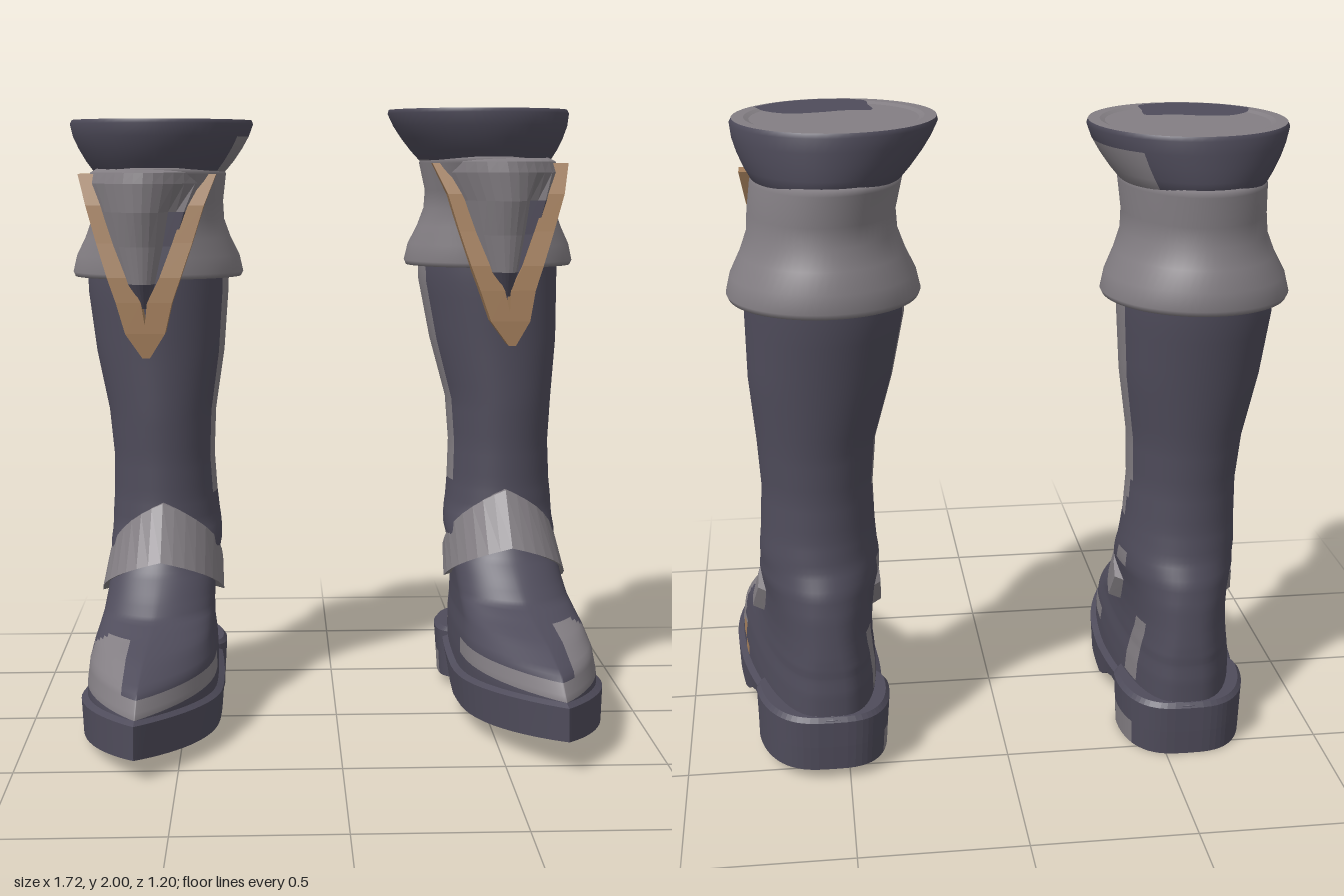
import * as THREE from 'three';

const DARK = 0, GREY = 1, TAN = 2, UNDER = 3;
const N = 64; // segments round each section

function makeMaterials() {
  return [['darkLeather', 0x4f4c5b], ['greyTrim', 0x837e83], ['tanBinding', 0xa47f5c], ['soleUnderside', 0x3a3742]]
    .map(([name, color]) => {
      const m = new THREE.MeshStandardMaterial({ color });
      m.name = name;
      return m;
    });
}

// Piecewise linear lookup in [key, value] pairs
function lookup(pairs, k) {
  if (k <= pairs[0][0]) return pairs[0][1];
  for (let i = 1; i < pairs.length; i++) {
    const [k0, v0] = pairs[i - 1], [k1, v1] = pairs[i];
    if (k <= k1) return v0 + (v1 - v0) * (k - k0) / (k1 - k0);
  }
  return pairs[pairs.length - 1][1];
}

// Horizontal section: half width, widest z, front z, back z, front and back pointedness
function section([y, w, cz, zf, zb, qf = 1, qb = 1]) {
  return Array.from({ length: N }, (_, i) => {
    const a = i / N * Math.PI * 2, s = Math.sin(a), c = Math.cos(a);
    const x = Math.sign(s) * w * Math.pow(Math.abs(s), c > 0 ? qf : qb);
    return [x, y, cz + c * (c > 0 ? zf - cz : cz - zb)];
  });
}

// Skin rings of points; paint(row, column) picks the colour of each cell
function skin(rings, paint = () => DARK, closed = true, sharp = false) {
  const n = rings[0].length, faces = [[], [], [], []];
  for (let j = 0; j < rings.length - 1; j++) {
    for (let i = 0; i < (closed ? n : n - 1); i++) {
      const a = j * n + i, b = j * n + (i + 1) % n;
      faces[paint(j, i)].push(a, b, b + n, a, b + n, a + n);
    }
  }
  let g = new THREE.BufferGeometry();
  g.setAttribute('position', new THREE.Float32BufferAttribute(rings.flat(2), 3));
  g.setIndex(faces.flat());
  let start = 0;
  faces.forEach((f, m) => {
    if (f.length) g.addGroup(start, f.length, m);
    start += f.length;
  });
  if (sharp) {
    const groups = g.groups;
    g = g.toNonIndexed();
    g.groups = groups.map(o => ({ ...o }));
  }
  return g;
}

// Underside of a symmetric section, filled in strips from side to side
function underside(ring) {
  const index = [];
  for (let i = 0; i < N / 2; i++) {
    const l = (N - i) % N, l2 = N - i - 1;
    index.push(i, l, i + 1, l, l2, i + 1);
  }
  const g = new THREE.BufferGeometry();
  g.setAttribute('position', new THREE.Float32BufferAttribute(ring.flat(), 3));
  g.setIndex(index);
  g.addGroup(0, index.length, UNDER);
  return g;
}

// Rectangular ring round a point, and rings collapsed to close both ends
const square = (x, y, z, w, d) => [[x - w, y, z + d], [x + w, y, z + d], [x + w, y, z - d], [x - w, y, z - d]];
const shut = r => r.map(() => [0, 1, 2].map(k => (r[0][k] + r[1][k] + r[2][k] + r[3][k]) / 4));
const closeEnds = rings => [shut(rings[0]), ...rings, shut(rings[rings.length - 1])];

// s is +1 or -1: the side of the outer face
function makeBoot(s, name, mats, { centre, dy, dz, yaw }) {
  const boot = new THREE.Group();
  boot.name = name;
  const add = (partName, g) => {
    const p = g.attributes.position;
    for (let i = 0; i < p.count; i++) {
      const x = p.getX(i), y = p.getY(i), z = p.getZ(i);
      const turn = yaw * z * THREE.MathUtils.clamp((0.65 - y) / 0.35, 0, 1); // toes point outward
      p.setXYZ(i, x + lookup(centre, y) + turn, y + dy, z + dz);
    }
    g.computeVertexNormals();
    const mesh = new THREE.Mesh(g, mats);
    mesh.name = partName;
    boot.add(mesh);
  };
  // Angle of a column from the front, positive toward the outer side
  const angle = i => {
    const d = (i + 0.5) / N * 360;
    return s * (d > 180 ? d - 360 : d);
  };

  // Foot and shaft, with extra rows between the key sections
  const keys = [
    [0.105, 0.205, 0.1, 0.58, -0.555, 1.9, 0.7],
    [0.185, 0.205, 0.1, 0.575, -0.555, 1.9, 0.7],
    [0.25, 0.2, 0.08, 0.52, -0.555, 1.8, 0.7],
    [0.3, 0.19, 0.04, 0.37, -0.55, 1.6, 0.7],
    [0.33, 0.185, 0, 0.25, -0.55, 1.5, 0.7],
    [0.365, 0.18, -0.05, 0.14, -0.548, 1.3, 0.75],
    [0.415, 0.177, -0.1, 0.08, -0.543, 1.2, 0.8],
    [0.49, 0.177, -0.17, 0, -0.535, 1.1, 0.85],
    [0.56, 0.187, -0.23, -0.045, -0.522, 1, 1],
    [0.63, 0.183, -0.27, -0.08, -0.49, 1, 1],
    [0.72, 0.175, -0.28, -0.088, -0.475, 1, 1],
    [0.85, 0.17, -0.28, -0.09, -0.47, 1, 1],
    [1.0, 0.18, -0.285, -0.085, -0.48, 1, 1],
    [1.2, 0.215, -0.3, -0.085, -0.51, 1, 1],
    [1.4, 0.235, -0.31, -0.08, -0.54, 1, 1],
    [1.55, 0.238, -0.31, -0.08, -0.55, 1, 1],
  ];
  const body = [];
  for (let j = 0; j < keys.length - 1; j++) {
    for (let k = 0; k < 4; k++) body.push(section(keys[j].map((v, c) => v + (keys[j + 1][c] - v) * k / 4)));
  }
  body.push(section(keys[keys.length - 1]));
  add('footAndShaft', skin(body, (j, i) => {
    const a = angle(i), p = body[j][i], q = body[j + 1][(i + 1) % N];
    const [x, y, z] = p.map((v, k) => (v + q[k]) / 2);
    if (s * x > 0.1 && y < 0.21 && Math.abs(z - 0.01 - (y - 0.1) * 0.4) < 0.028) return TAN;
    if (y > 0.185 && y < 0.24 && z > 0.03) return GREY; // toe band
    if (y > 0.185 && y < 0.33 && s * x > 0.06 && z > 0.05 + (y - 0.2) * 0.8) return GREY; // toe panel
    if (y > 0.18 && y < 0.4 && a < -132 && a > -139) return GREY; // heel stripe
    if (y > 0.56 && y < 0.62 && a < -97 && a > -113) return GREY; // ankle patch
    if (y > 0.72 && a < -68 && a > -109 + Math.max(0, 0.95 - y) * 60) return GREY; // shaft panel
    return DARK;
  }));

  // Sole with raised arch, and heel block
  const soleEdge = section([0, 0.225, 0.1, 0.6, -0.565, 1.9, 0.7]);
  const rim = z => 0.115 + 0.06 * Math.abs(z) / 0.6;
  const bottom = soleEdge.map(([x, , z]) =>
    [x * 0.97, z > 0 ? 0.02 + 0.05 * (z / 0.6) ** 2 : 0.02 + 0.08 * THREE.MathUtils.smoothstep(-z, 0.02, 0.22), z]);
  const soleTop = section([0, 0.2, 0.1, 0.57, -0.55, 1.9, 0.7]).map(([x, , z]) => [x, rim(z) + 0.015, z]);
  add('sole', skin([bottom, soleEdge.map(([x, , z]) => [x, rim(z), z]), soleTop], undefined, true, true));
  add('soleUnderside', underside(bottom));
  const heel = [[0, 0.2, -0.56], [0.08, 0.203, -0.565], [0.165, 0.207, -0.568], [0.18, 0.195, -0.558], [0.18, 0.15, -0.5]]
    .map(([y, w, zb]) => section([y, w, -0.33, -0.26, zb, 0.25, 0.65]));
  add('heel', skin(heel, (j, i) => (j === 0 && angle(i) < -85 && angle(i) > -130 ? GREY : DARK), true, true));
  add('heelUnderside', underside(heel[0]));

  // Peaked instep strap
  const strap = [];
  for (let k = 0; k <= 16; k++) {
    const u = k / 8 - 1, c = Math.cos(u * Math.PI / 2), x = Math.sin(u * Math.PI / 2);
    const peak = (c + 1 - Math.abs(u)) / 2;
    const up = [0.193 * x, 0.485 + 0.225 * peak, -0.255 + 0.19 * c];
    const low = [0.205 * x, 0.39 + 0.145 * peak, -0.185 + 0.225 * c];
    const inset = ([px, py, pz]) => [px * 0.82, py, pz - 0.04];
    strap.push([up, low, inset(low), inset(up)]);
  }
  add('instepStrap', skin(closeEnds(strap), () => GREY, true, true));

  // Flared cuff below the rim
  add('cuff', skin([
    [1.475, 0.225, -0.3, -0.09, -0.53],
    [1.45, 0.278, -0.3, -0.075, -0.583],
    [1.465, 0.285, -0.3, -0.07, -0.588],
    [1.52, 0.272, -0.295, -0.07, -0.587],
    [1.58, 0.242, -0.28, -0.07, -0.562],
    [1.64, 0.22, -0.275, -0.065, -0.54],
    [1.7, 0.216, -0.27, -0.05, -0.537],
    [1.79, 0.22, -0.27, 0, -0.553],
    [1.81, 0.21, -0.27, 0, -0.545],
    [1.81, 0.17, -0.27, -0.04, -0.49],
  ].map(section), () => GREY));

  // Bowl-shaped rim
  add('rim', skin([
    [1.77, 0.19, -0.27, -0.03, -0.51],
    [1.8, 0.22, -0.27, -0.01, -0.54],
    [1.83, 0.243, -0.26, 0.015, -0.545],
    [1.87, 0.268, -0.25, 0.04, -0.548],
    [1.91, 0.288, -0.24, 0.057, -0.548],
    [1.95, 0.3, -0.24, 0.068, -0.548],
    [1.963, 0.295, -0.24, 0.06, -0.54],
  ].map(section), (j, i) => (j < 1 || (s < 0 && j < 4 && angle(i) < -60 && angle(i) > -140) ? GREY : DARK)));

  // Closed top with a shallow recess and a dark patch toward the front
  const lid = [0.295, 0.26, 0.245, 0.001].map((r, k) =>
    section([k < 2 ? 1.963 : 1.957, r, -0.24, -0.24 + r * 1.017, -0.24 - r * 1.017]));
  add('topLid', skin(lid, () => GREY, true, true));
  const outline = new THREE.SplineCurve([
    [0.23, -0.08], [0.2, -0.16], [0.13, -0.213], [0.04, -0.2], [-0.03, -0.175], [-0.11, -0.175],
    [-0.105, -0.08], [-0.09, 0.01], [0.03, 0.04], [0.15, 0], [0.23, -0.08],
  ].map(([x, z]) => new THREE.Vector2(s * x, -z)));
  const patch = new THREE.ShapeGeometry(new THREE.Shape(outline.getPoints(50)));
  patch.rotateX(-Math.PI / 2).translate(0, 1.965, 0);
  patch.addGroup(0, Infinity, DARK);
  add('topPatch', patch);

  // Shield plate on the cuff front, with a recessed dark panel on one side
  const bias = 0.03 * s;
  const plate = [
    [1.36, 0.025, -0.03, -0.045], [1.44, 0.07, 0.015, -0.05], [1.56, 0.118, 0.035, -0.075],
    [1.67, 0.152, 0.065, -0.09], [1.76, 0.19, 0.073, -0.115], [1.795, 0.185, 0.068, -0.125], [1.81, 0.16, -0.04, -0.14],
  ].map(([y, w, zc, ze], j) => Array.from({ length: 13 }, (_, i) => {
    const u = i / 6 - 1;
    return [bias + u * w, y, zc - (zc - ze) * (j < 4 && i > 8 ? Math.max(0.75, u * u) : u * u)];
  }));
  add('shieldPlate', skin(plate, (j, i) => (j < 1 || (j < 3 && i >= 9) ? DARK : GREY), false, true));

  // Tan V binding round the shield
  for (const m of [-1, 1]) {
    const arm = [
      [1.2, 0.004, -0.055, 0.008], [1.28, 0.03, -0.05, 0.034], [1.38, 0.05, -0.052, 0.04], [1.46, 0.084, -0.058, 0.034],
      [1.57, 0.122, -0.08, 0.032], [1.69, 0.16, -0.1, 0.03], [1.79, 0.193, -0.135, 0.03],
    ].map(([y, x, z, w]) => square(bias + m * x, y, z, w, 0.038));
    add(m > 0 ? 'bindingArmA' : 'bindingArmB', skin(closeEnds(arm), () => TAN, true, true));
  }
  return boot;
}

export function createModel() {
  const model = new THREE.Group();
  model.name = 'pairOfBoots';
  const mats = makeMaterials();
  model.add(makeBoot(-1, 'rightBoot', mats, {
    centre: [[0, -0.598], [0.3, -0.595], [0.6, -0.57], [1, -0.58], [1.4, -0.59], [1.7, -0.585], [1.96, -0.566]],
    dy: 0, dz: 0, yaw: -0.05,
  }));
  model.add(makeBoot(1, 'leftBoot', mats, {
    centre: [[0, 0.615], [0.3, 0.607], [0.6, 0.57], [1, 0.565], [1.4, 0.527], [1.7, 0.525], [1.84, 0.5], [1.96, 0.478]],
    dy: 0.035, dz: -0.015, yaw: 0.11,
  }));
  return model;
}
